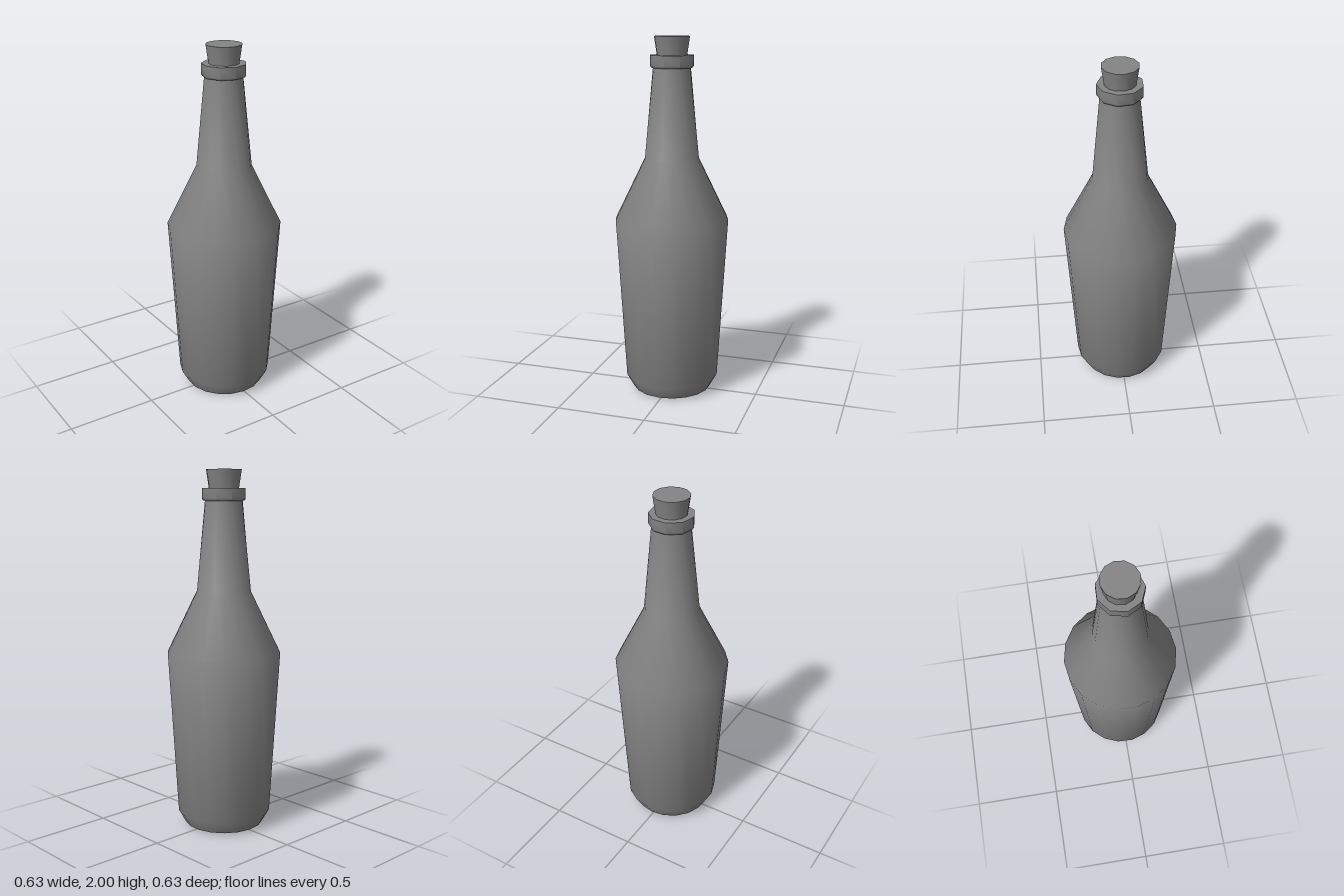
import * as THREE from 'three';
import { toCreasedNormals } from 'three/addons/utils/BufferGeometryUtils.js';

const material = new THREE.MeshStandardMaterial({ color: 0x848484 });
const rad = THREE.MathUtils.degToRad;

// Turned part from [radius, height] pairs, listed from bottom to top
function turned(name, profile, sides, phaseDeg, reshape) {
  const points = profile.map(([r, y]) => new THREE.Vector2(r, y));
  const lathe = new THREE.LatheGeometry(points, sides, rad(phaseDeg));
  if (reshape) reshape(lathe.attributes.position, points.length);
  const mesh = new THREE.Mesh(toCreasedNormals(lathe, rad(45)), material);
  mesh.name = name;
  return mesh;
}

// The neck's top ring is nearly nine-sided: pull every second vertex towards the chord
function softenTopRing(position, ringCount) {
  for (let i = 1; i * ringCount < position.count; i += 2) {
    const v = i * ringCount + ringCount - 1;
    position.setX(v, position.getX(v) * 0.96);
    position.setZ(v, position.getZ(v) * 0.96);
  }
}

export function createModel() {
  const bottle = new THREE.Group();
  bottle.name = 'bottle';

  // Base, chamfer, widening body, shoulder and neck
  bottle.add(turned('body', [
    [0, 0], [0.222, 0.007], [0.263, 0.08], [0.317, 1.0], [0.151, 1.34], [0.104, 1.84],
  ], 18, -2, softenTopRing));

  // Collar at the mouth, with a small bevel underneath
  bottle.add(turned('collar', [
    [0.095, 1.832], [0.115, 1.832], [0.121, 1.842], [0.121, 1.9], [0, 1.9],
  ], 9, -2.2));

  // Tapered stopper
  bottle.add(turned('cork', [[0.08, 1.88], [0.098, 2], [0, 2]], 12, 8.4));

  return bottle;
}
